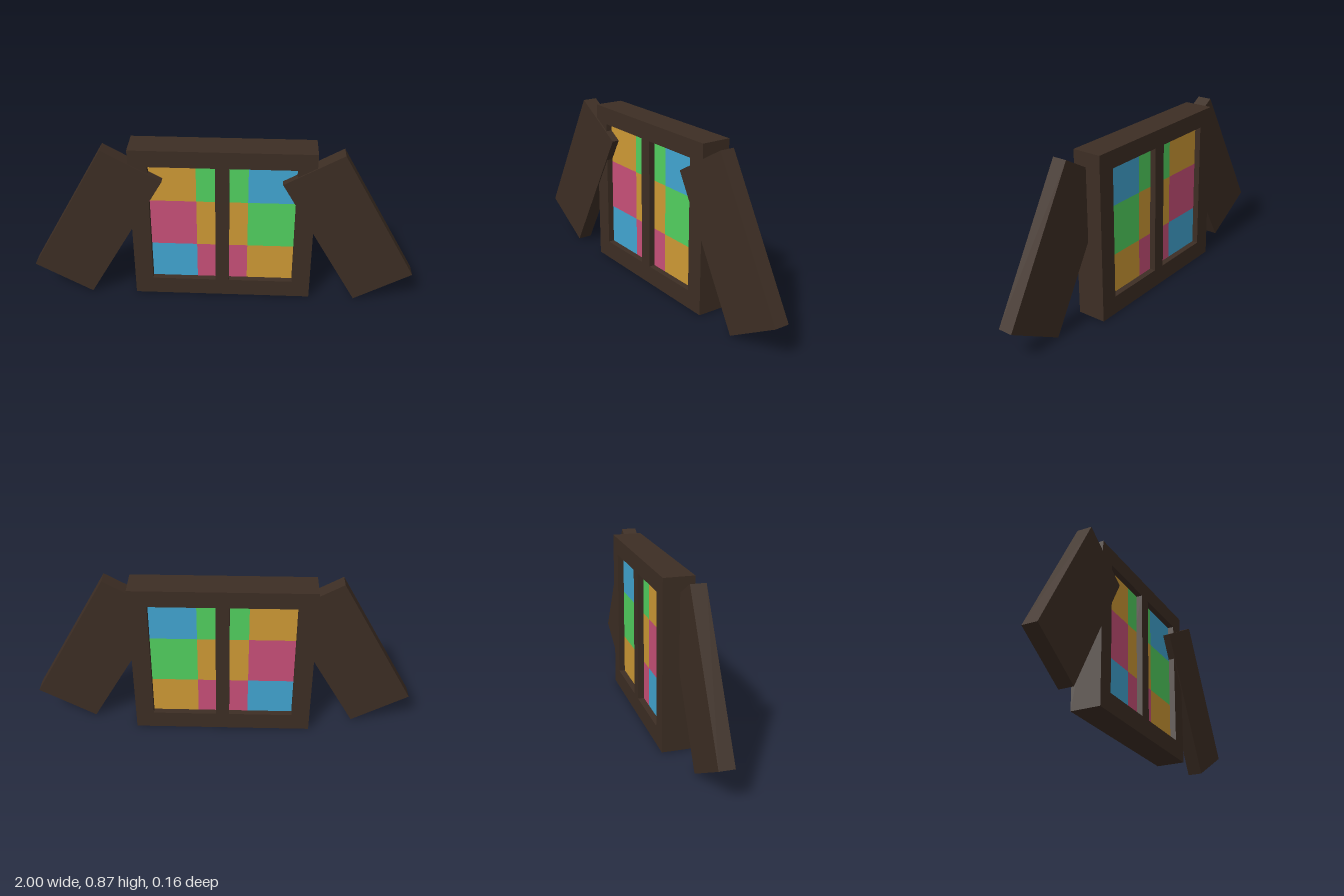
import * as THREE from 'three';

const mat = (name, color) => {
  const m = new THREE.MeshStandardMaterial({ color });
  m.name = name;
  return m;
};

export function createModel() {
  const wood = mat('dark wood', 0x3d2e24);
  const amber = mat('amber glass', 0xcf9a35);
  const green = mat('green glass', 0x52d160);
  const blue = mat('blue glass', 0x42a6d2);
  const pink = mat('pink glass', 0xc95079);

  const model = new THREE.Group();
  model.name = 'shutteredWindow';

  const box = (name, material, x0, x1, y0, y1, z0, z1) => {
    const mesh = new THREE.Mesh(new THREE.BoxGeometry(x1 - x0, y1 - y0, z1 - z0), material);
    mesh.position.set((x0 + x1) / 2, (y0 + y1) / 2, (z0 + z1) / 2);
    mesh.name = name;
    return mesh;
  };

  // Window frame with two openings and a central mullion
  const rect = (path, x0, x1, y0, y1) =>
    path.moveTo(x0, y0).lineTo(x1, y0).lineTo(x1, y1).lineTo(x0, y1).closePath();
  const outline = rect(new THREE.Shape(), -0.465, 0.465, 0, 0.87);
  outline.holes.push(rect(new THREE.Path(), -0.37, -0.035, 0.097, 0.78));
  outline.holes.push(rect(new THREE.Path(), 0.035, 0.37, 0.097, 0.78));
  const frame = new THREE.Mesh(
    new THREE.ExtrudeGeometry(outline, { depth: 0.154, bevelEnabled: false }), wood);
  frame.position.z = -0.08;
  frame.name = 'frame';
  model.add(frame);

  // Stained glass: columns from left to right, colours from bottom to top
  const glass = new THREE.Group();
  glass.name = 'stainedGlass';
  const rows = [0.097, 0.305, 0.568, 0.78];
  const columns = [
    [-0.37, -0.133, [blue, pink, amber]],
    [-0.133, -0.035, [pink, amber, green]],
    [0.035, 0.13, [pink, amber, green]],
    [0.13, 0.37, [amber, green, blue]],
  ];
  for (const [x0, x1, colours] of columns) {
    colours.forEach((colour, i) =>
      glass.add(box('glassPane', colour, x0, x1, rows[i], rows[i + 1], -0.048, 0.042)));
  }
  model.add(glass);

  // Slanted shutters on both sides
  for (const side of [-1, 1]) {
    const shutter = box(side > 0 ? 'leftShutter' : 'rightShutter', wood,
      -0.17, 0.17, -0.4035, 0.4035, 0.003, 0.08);
    shutter.position.x = side * 0.649;
    shutter.position.y = 0.436;
    shutter.rotation.z = side * Math.PI / 6;
    model.add(shutter);
  }
  return model;
}
